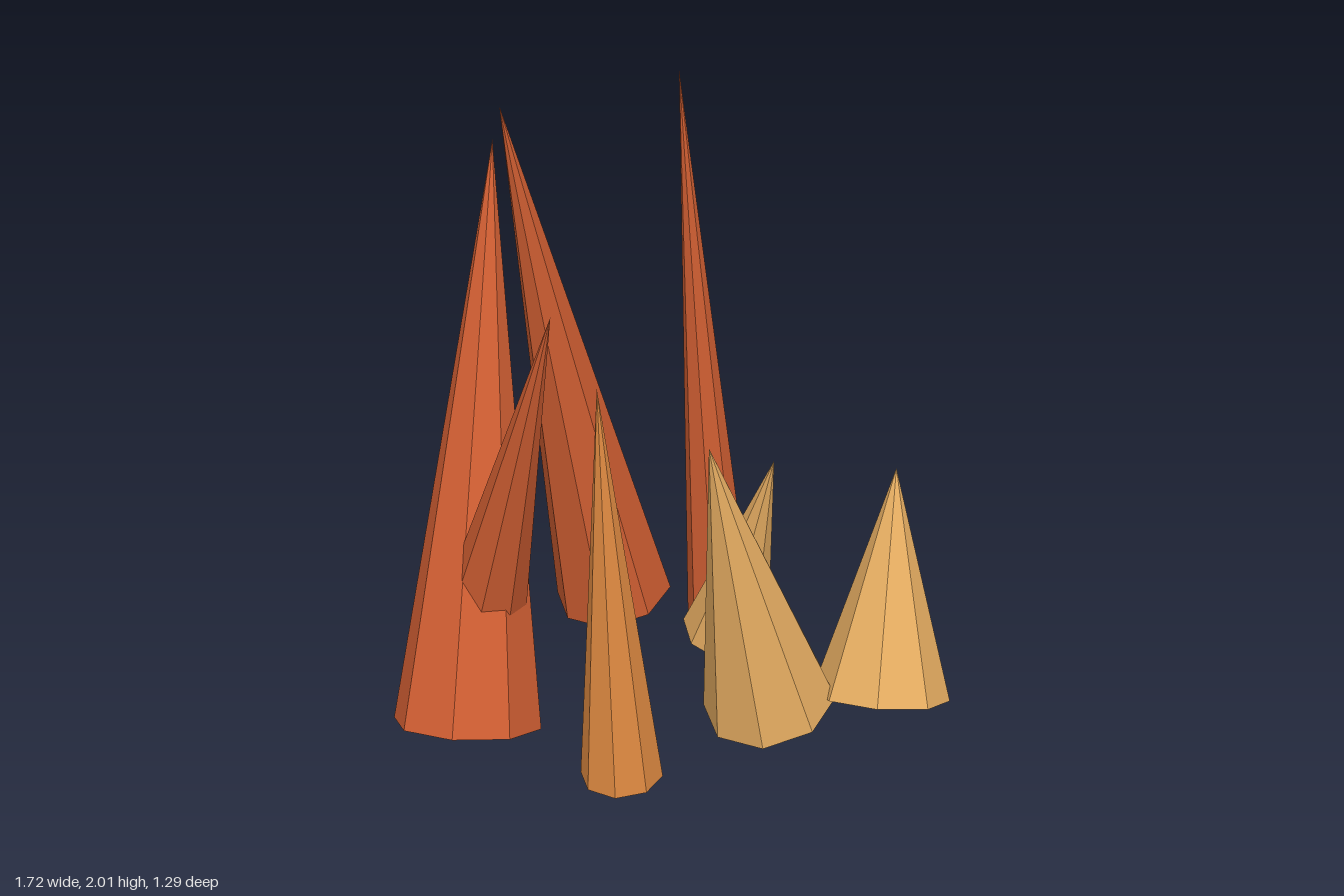
import * as THREE from 'three';

// Leaning eight-sided cone from the centre of its base to its tip
function spike(name, base, tip, radius, material) {
  const foot = new THREE.Vector3(...base);
  const axis = new THREE.Vector3(...tip).sub(foot);
  const height = axis.length();
  const geometry = new THREE.ConeGeometry(radius, height, 8);
  geometry.rotateY(THREE.MathUtils.degToRad(15));
  geometry.translate(0, height / 2, 0);
  const mesh = new THREE.Mesh(geometry, material);
  mesh.name = name;
  mesh.position.copy(foot);
  mesh.quaternion.setFromUnitVectors(new THREE.Vector3(0, 1, 0), axis.normalize());
  return mesh;
}

function flat(name, color) {
  const material = new THREE.MeshStandardMaterial({ color, flatShading: true });
  material.name = name;
  return material;
}

export function createModel() {
  const rust = flat('rust', 0xcc5c31);
  const orange = flat('orange', 0xdc8840);
  const sand = flat('sand', 0xe2aa60);

  const group = new THREE.Group();
  group.name = 'spikeCluster';
  group.add(
    // Tall spikes
    spike('largeRightSpike', [-0.64, 0.095, 0.13], [-0.31, 1.79, -0.46], 0.235, rust),
    spike('innerRightSpike', [-0.57, 0.09, -0.085], [-0.44, 1.61, 0.41], 0.172, rust),
    spike('backSpike', [0.08, 0.075, -0.463], [-0.32, 1.94, -0.355], 0.197, rust),
    spike('needleSpike', [0.37, 0.06, -0.225], [0.235, 2.0, -0.29], 0.108, rust),
    // Slim front spike
    spike('frontSpike', [-0.265, 0.05, 0.5], [-0.325, 1.39, 0.47], 0.128, orange),
    // Short spikes
    spike('middleShortSpike', [0.305, 0.07, 0.333], [0.055, 1.08, 0.4], 0.215, sand),
    spike('backShortSpike', [0.345, 0.06, -0.115], [0.405, 0.81, 0.105], 0.145, sand),
    spike('leftShortSpike', [0.65, 0.07, 0.435], [0.79, 0.75, 0.195], 0.22, sand),
  );
  return group;
}
